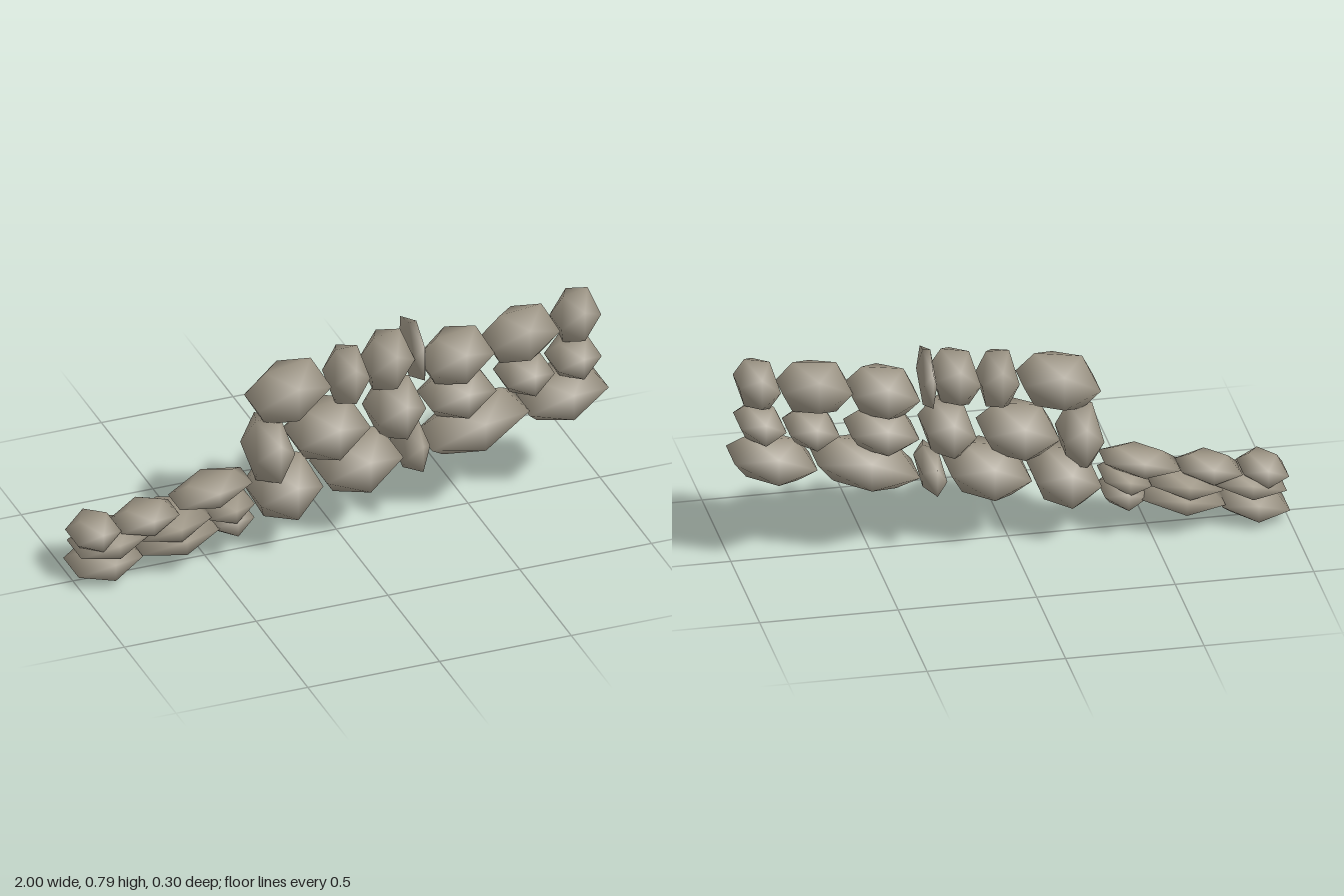
import * as THREE from 'three';
import { mergeVertices } from 'three/addons/utils/BufferGeometryUtils.js';

const stoneGrey = new THREE.MeshStandardMaterial({ color: 0x9c9484 });
stoneGrey.name = 'stoneGrey';

// Rounded boulder: an icosahedron fitted to a box and tilted along the slope.
function stone(name, [x0, x1, y0, y1, z0, z1, slope]) {
  const geo = new THREE.IcosahedronGeometry(1, 0);
  geo.deleteAttribute('uv');
  geo.deleteAttribute('normal');
  const g = mergeVertices(geo, 1e-4);
  const p = g.attributes.position;
  const reach = 0.8507; // largest coordinate of a unit icosahedron
  const hw = (x1 - x0) / 2, hd = (z1 - z0) / 2;
  const hh = (y1 - y0) / 2 - slope * hw * 0.618;
  for (let i = 0; i < p.count; i++) {
    const x = (p.getX(i) / reach) * hw;
    p.setXYZ(i,
      (x0 + x1) / 2 + x,
      (y0 + y1) / 2 + (p.getY(i) / reach) * hh + slope * x,
      (z0 + z1) / 2 + (p.getZ(i) / reach) * hd);
  }
  g.computeVertexNormals();
  const mesh = new THREE.Mesh(g, stoneGrey);
  mesh.name = name;
  return mesh;
}

// Rows: x0, x1, y0, y1, z0, z1, slope
const courses = {
  tallWallTop: [
    [-0.32, -0.04, 0.48, 0.715, -0.12, 0.10, 0.16],
    [-0.03, 0.105, 0.515, 0.735, -0.10, 0.10, 0.03],
    [0.11, 0.275, 0.535, 0.765, -0.11, 0.10, 0.2],
    [0.275, 0.32, 0.555, 0.775, -0.14, 0.10, 0.1],
    [0.33, 0.575, 0.51, 0.72, -0.11, 0.11, 0.15],
    [0.57, 0.825, 0.55, 0.76, -0.09, 0.10, 0.1],
    [0.83, 0.98, 0.585, 0.79, -0.09, 0.10, 0.22],
  ],
  tallWallMiddle: [
    [-0.33, -0.185, 0.26, 0.505, -0.14, 0.125, 0.05],
    [-0.17, 0.10, 0.31, 0.53, -0.14, 0.13, 0.13],
    [0.13, 0.31, 0.34, 0.57, -0.135, 0.13, 0.18],
    [0.335, 0.58, 0.38, 0.555, -0.125, 0.12, 0.13],
    [0.62, 0.80, 0.425, 0.57, -0.11, 0.12, 0.12],
    [0.81, 0.975, 0.455, 0.605, -0.10, 0.125, 0.18],
  ],
  tallWallBottom: [
    [-0.32, -0.085, 0.11, 0.34, -0.155, 0.15, 0.15],
    [-0.07, 0.22, 0.16, 0.385, -0.14, 0.145, 0.16],
    [0.235, 0.325, 0.20, 0.39, -0.13, 0.13, 0.45],
    [0.33, 0.70, 0.225, 0.45, -0.12, 0.135, 0.23],
    [0.70, 1.0, 0.29, 0.485, -0.115, 0.135, 0.18],
  ],
  lowWallTop: [
    [-1.0, -0.835, 0.12, 0.245, -0.115, 0.09, 0.16],
    [-0.835, -0.615, 0.145, 0.26, -0.10, 0.09, 0.15],
    [-0.61, -0.335, 0.195, 0.32, -0.11, 0.08, 0.2],
  ],
  lowWallMiddle: [
    [-0.99, -0.73, 0.085, 0.20, -0.13, 0.105, 0.18],
    [-0.76, -0.50, 0.115, 0.22, -0.14, 0.115, 0.17],
    [-0.505, -0.335, 0.145, 0.245, -0.115, 0.11, 0.2],
  ],
  lowWallBottom: [
    [-1.0, -0.755, 0.0, 0.125, -0.14, 0.105, 0.15],
    [-0.765, -0.465, 0.06, 0.175, -0.155, 0.125, 0.16],
    [-0.49, -0.335, 0.09, 0.20, -0.12, 0.105, 0.1],
  ],
};

export function createModel() {
  const wall = new THREE.Group();
  wall.name = 'dryStoneWall';
  for (const [name, rows] of Object.entries(courses)) {
    const course = new THREE.Group();
    course.name = name;
    rows.forEach((row, i) => course.add(stone(`${name}Stone${i + 1}`, row)));
    wall.add(course);
  }
  return wall;
}
